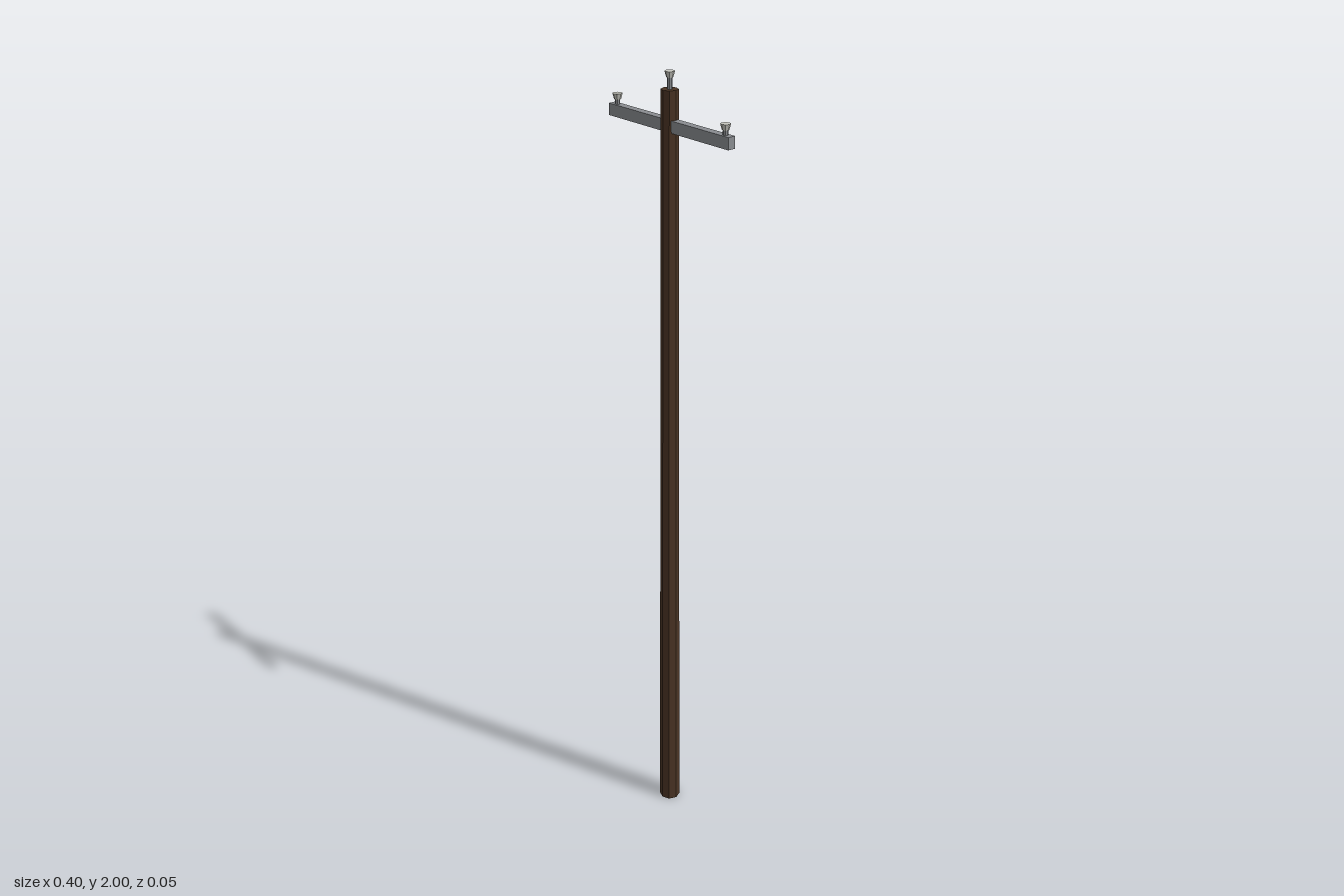
import * as THREE from 'three';

export function createModel() {
  const model = new THREE.Group();
  const mat = (color) => new THREE.MeshStandardMaterial({ color, flatShading: true });
  const wood = mat(0x4a3424), steel = mat(0x8a8d91), ceramic = mat(0xc8c8c0);

  function add(parent, name, geometry, material, y) {
    const mesh = new THREE.Mesh(geometry, material);
    mesh.name = name;
    mesh.position.y = y;
    parent.add(mesh);
  }

  // Tapered eight-sided pole
  add(model, 'pole', new THREE.CylinderGeometry(0.02, 0.027, 1.96, 8), wood, 0.98);

  // Cross-arm through the pole
  add(model, 'crossArm', new THREE.BoxGeometry(0.4, 0.028, 0.02), steel, 1.879);

  // Insulator: thin pin with a flared cap
  function insulator(name, x, y, height) {
    const group = new THREE.Group();
    const cap = 0.014, pin = height - cap;
    group.name = name;
    group.position.set(x, y, 0);
    add(group, 'pin', new THREE.CylinderGeometry(0.006, 0.006, pin, 8), steel, pin / 2);
    add(group, 'cap', new THREE.CylinderGeometry(0.012, 0.008, cap, 8), ceramic, pin + cap / 2);
    model.add(group);
  }
  insulator('topInsulator', 0, 1.96, 0.04);
  insulator('leftInsulator', 0.18, 1.893, 0.025);
  insulator('rightInsulator', -0.18, 1.893, 0.025);

  return model;
}
